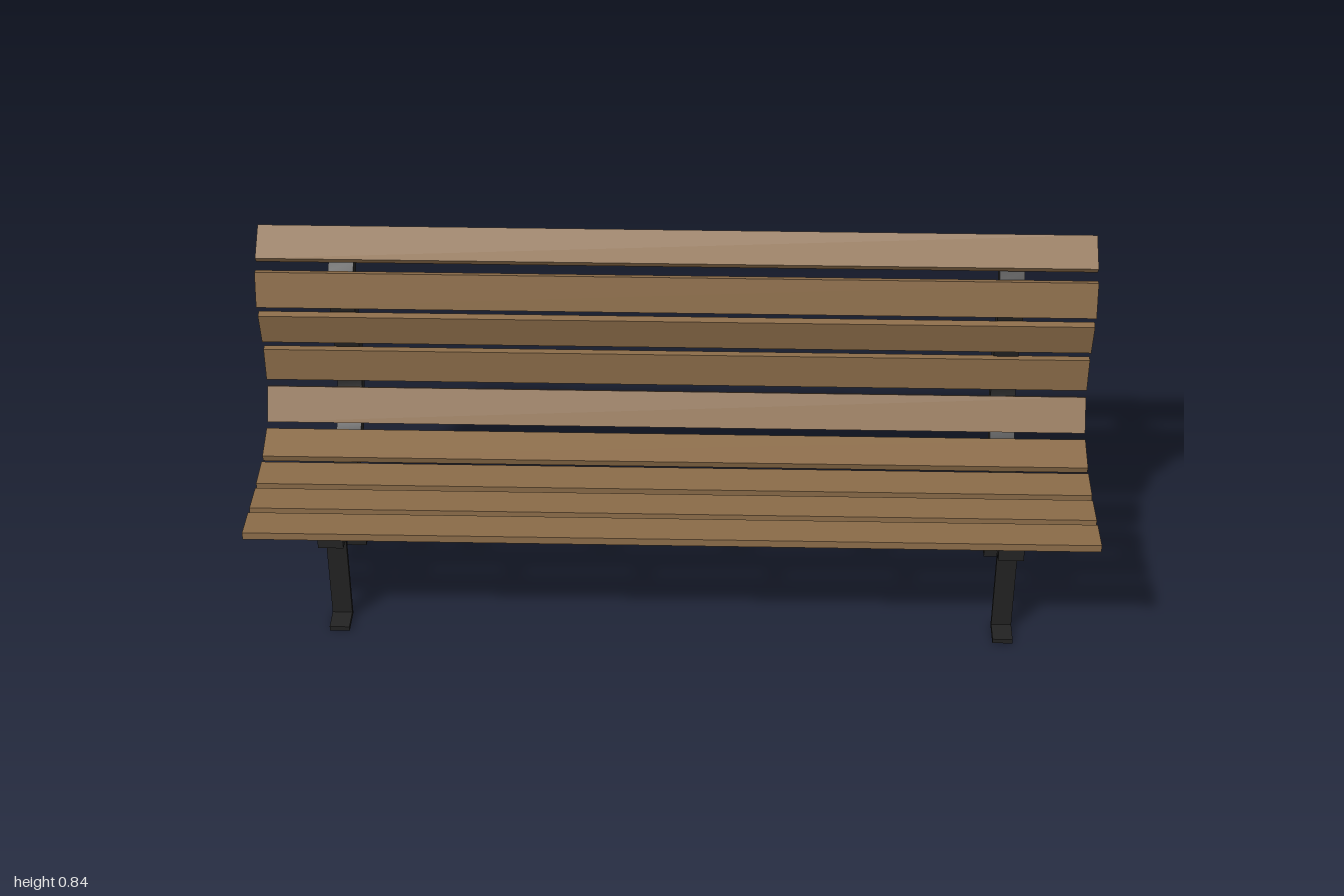
import * as THREE from 'three';
import { toCreasedNormals } from 'three/addons/utils/BufferGeometryUtils.js';

const wood = new THREE.MeshStandardMaterial({ color: 0x8a6b48 });
wood.name = 'wood';
const iron = new THREE.MeshStandardMaterial({ color: 0x222222 });
iron.name = 'blackIron';

function box(name, material, size, position) {
  const mesh = new THREE.Mesh(new THREE.BoxGeometry(...size), material);
  mesh.name = name;
  mesh.position.set(...position);
  return mesh;
}

// Curved support: a band of constant thickness around an S-shaped centre line
function supportGeometry(width, thickness) {
  const line = [
    [0.246, 0.291], [0.148, 0.28], [0.043, 0.275], [-0.052, 0.286], [-0.141, 0.322],
    [-0.203, 0.386], [-0.23, 0.475], [-0.223, 0.553], [-0.208, 0.64], [-0.201, 0.698],
    [-0.212, 0.734], [-0.261, 0.777],
  ].map(([z, y]) => new THREE.Vector3(-z, y, 0));
  const curve = new THREE.CatmullRomCurve3(line, false, 'centripetal');
  const upper = [], lower = [];
  const steps = 48;
  for (let i = 0; i <= steps; i++) {
    const p = curve.getPointAt(i / steps);
    const t = curve.getTangentAt(i / steps);
    const nx = (-t.y * thickness) / 2, ny = (t.x * thickness) / 2;
    upper.push(new THREE.Vector2(p.x + nx, p.y + ny));
    lower.push(new THREE.Vector2(p.x - nx, p.y - ny));
  }
  const shape = new THREE.Shape([...lower, ...upper.reverse()]);
  const geometry = new THREE.ExtrudeGeometry(shape, { depth: width, bevelEnabled: false });
  geometry.translate(0, 0, -width / 2).rotateY(Math.PI / 2);
  return toCreasedNormals(geometry, 0.6);
}

export function createModel() {
  const bench = new THREE.Group();
  bench.name = 'bench';

  // Slats: centre z, centre y, tilt in degrees
  const slats = new THREE.Group();
  slats.name = 'slats';
  slats.rotation.y = 0.0055;
  const layout = [
    [0.237, 0.326, -4.5], [0.128, 0.316, -4.5], [0.023, 0.314, 0],
    [-0.083, 0.33, 15], [-0.169, 0.391, 59], [-0.193, 0.497, 90],
    [-0.177, 0.612, 102], [-0.17, 0.724, 75], [-0.238, 0.81, 34],
  ];
  layout.forEach(([z, y, tilt], i) => {
    const slat = box(i < 4 ? 'seatSlat' : 'backSlat', wood, [1.998, 0.018, 0.088], [0, y, z]);
    slat.rotation.x = THREE.MathUtils.degToRad(tilt);
    slats.add(slat);
  });
  bench.add(slats);

  // Two end frames, each a curved support on two legs with outward feet
  const support = supportGeometry(0.06, 0.045);
  for (const [side, x] of [['left', 0.797], ['right', -0.8]]) {
    const frame = new THREE.Group();
    frame.name = side + 'Frame';
    frame.position.x = x;
    const band = new THREE.Mesh(support, iron);
    band.name = 'curvedSupport';
    frame.add(band);
    for (const [end, z, dir] of [['front', 0.1655, 1], ['back', -0.1145, -1]]) {
      frame.add(box(end + 'Leg', iron, [0.048, 0.261, 0.013], [0, 0.1305, z]));
      frame.add(box(end + 'Foot', iron, [0.048, 0.012, 0.056], [0, 0.006, z + dir * 0.0345]));
    }
    bench.add(frame);
  }
  return bench;
}
